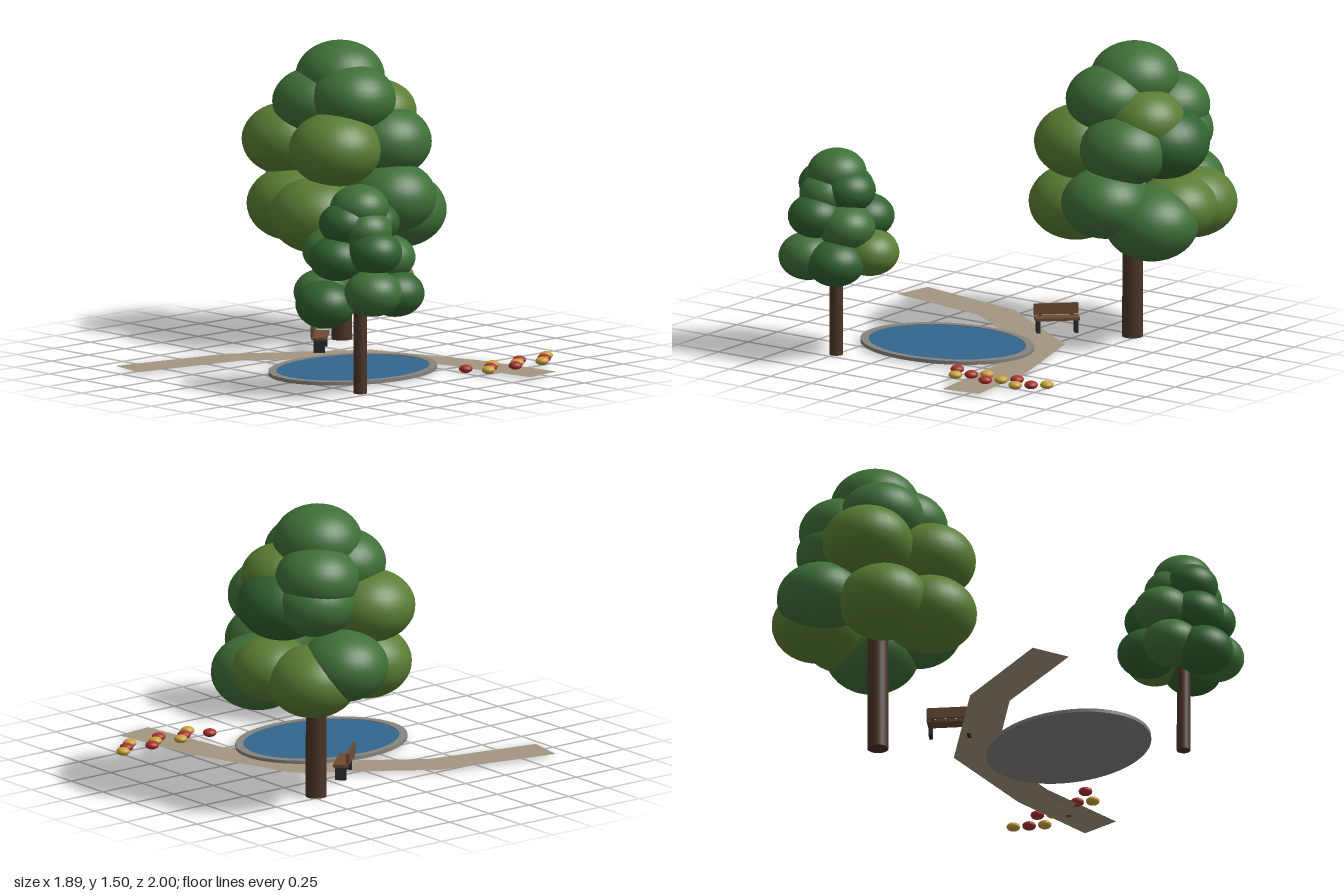
import * as THREE from 'three';

const mat = (color, extra = {}) => new THREE.MeshStandardMaterial({ color, ...extra });
const green = mat(0x3f7038), dark = mat(0x2f612f), olive = mat(0x5a7d33);
const bark = mat(0x4b3527), wood = mat(0x6b4a31), iron = mat(0x2b2c2e);

function add(parent, name, geometry, material, x = 0, y = 0, z = 0) {
  const mesh = new THREE.Mesh(geometry, material);
  mesh.name = name;
  mesh.position.set(x, y, z);
  parent.add(mesh);
  return mesh;
}

// Trunk plus a crown of flattened leaf clumps: [x, y, z, radius, material]
function tree(name, x, z, trunkRadius, trunkHeight, clumps) {
  const group = new THREE.Group();
  group.name = name;
  add(group, 'trunk', new THREE.CylinderGeometry(trunkRadius * 0.97, trunkRadius, trunkHeight, 20),
    bark, x, trunkHeight / 2, z);
  const ball = new THREE.SphereGeometry(1, 32, 20);
  for (const [cx, cy, cz, r, m] of clumps) {
    add(group, 'leafClump', ball, m, cx, cy, cz).scale.set(r, r * 0.8, r);
  }
  return group;
}

function bench() {
  const group = new THREE.Group();
  group.name = 'bench';
  add(group, 'benchSeat', new THREE.BoxGeometry(0.222, 0.014, 0.075), wood, 0, 0.083, 0);
  add(group, 'benchBack', new THREE.BoxGeometry(0.222, 0.055, 0.014), wood, 0, 0.122, -0.036);
  for (const s of [-1, 1]) {
    add(group, 'benchLeg', new THREE.BoxGeometry(0.018, 0.066, 0.055), iron, s * 0.095, 0.043, 0);
    add(group, 'backPost', new THREE.BoxGeometry(0.014, 0.03, 0.01), iron, s * 0.08, 0.095, -0.036);
  }
  group.position.set(0.145, 0, -0.275);
  group.rotation.y = 0.75;
  return group;
}

// Stone basin with a raised rim, and water just below its edge
function pond() {
  const group = new THREE.Group();
  group.name = 'pond';
  const basin = [[0, 0.01], [1, 0.01], [1, 0.028], [0.907, 0.028], [0.907, 0.015]]
    .map(([r, y]) => new THREE.Vector2(r, y));
  add(group, 'pondRim', new THREE.LatheGeometry(basin, 64), mat(0x87837d, { flatShading: true }));
  add(group, 'pondWater', new THREE.CircleGeometry(0.908, 64).rotateX(-Math.PI / 2), mat(0x34668f), 0, 0.025, 0);
  group.position.set(-0.138, 0, 0.258);
  group.scale.set(0.461, 1, 0.364);
  return group;
}

function path() {
  const outline = [[-0.944, -0.434], [-0.362, -0.32], [0.163, 0.04], [0.306, 0.498], [0.368, 1.0],
    [0.573, 0.973], [0.51, 0.483], [0.325, -0.095], [-0.283, -0.51], [-0.907, -0.638]];
  const shape = new THREE.Shape(outline.map(([x, z]) => new THREE.Vector2(x, -z)));
  return new THREE.ShapeGeometry(shape).rotateX(-Math.PI / 2);
}

export function createModel() {
  const model = new THREE.Group();
  model.name = 'park';

  model.add(tree('largeTree', 0.47, -0.465, 0.052, 0.75, [
    // lower ring
    [0.2, 0.67, -0.36, 0.235, olive], [0.525, 0.75, -0.16, 0.22, green],
    [0.705, 0.645, -0.3, 0.235, green], [0.74, 0.7, -0.46, 0.205, olive],
    [0.67, 0.675, -0.69, 0.225, olive], [0.54, 0.75, -0.775, 0.22, green],
    [0.265, 0.69, -0.6, 0.23, olive],
    // middle ring
    [0.27, 1.0, -0.3, 0.23, olive], [0.575, 1.01, -0.255, 0.225, green],
    [0.67, 1.025, -0.45, 0.23, dark], [0.6, 1.05, -0.61, 0.21, green],
    [0.3, 1.0, -0.68, 0.225, olive],
    // upper ring and top
    [0.42, 1.23, -0.335, 0.215, green], [0.615, 1.14, -0.37, 0.2, olive],
    [0.58, 1.17, -0.61, 0.21, green], [0.355, 1.2, -0.54, 0.21, green],
    [0.472, 1.32, -0.48, 0.222, green],
  ]));

  model.add(tree('smallTree', -0.5, 0.695, 0.034, 0.55, [
    // lower ring
    [-0.7, 0.465, 0.655, 0.148, dark], [-0.56, 0.53, 0.85, 0.144, green],
    [-0.4, 0.51, 0.84, 0.146, dark], [-0.308, 0.545, 0.675, 0.145, olive],
    [-0.43, 0.5, 0.52, 0.15, dark], [-0.6, 0.5, 0.53, 0.144, green],
    // middle ring
    [-0.63, 0.69, 0.665, 0.14, dark], [-0.53, 0.73, 0.83, 0.137, dark],
    [-0.385, 0.68, 0.765, 0.142, green], [-0.4, 0.7, 0.58, 0.14, dark],
    [-0.54, 0.7, 0.525, 0.142, green],
    // upper ring and top
    [-0.58, 0.86, 0.675, 0.134, dark], [-0.52, 0.83, 0.755, 0.132, green],
    [-0.42, 0.85, 0.7, 0.134, dark], [-0.48, 0.85, 0.63, 0.132, green],
    [-0.5, 0.93, 0.69, 0.147, green],
  ]));

  add(model, 'path', path(), mat(0xa39781, { side: THREE.DoubleSide }), 0, 0.012, 0);
  model.add(pond(), bench());

  // Zigzag flower bed in alternating colours
  const petal = new THREE.SphereGeometry(0.034, 20, 12).scale(1, 0.6, 1);
  const red = mat(0xa8322d), yellow = mat(0xc9a23a);
  for (let i = 0; i < 10; i++) {
    add(model, 'flower', petal, i % 2 ? yellow : red, 0.23 + i * 0.0608, 0.03, 0.682 + [0, 0.1, 0.05][i % 3]);
  }
  return model;
}
